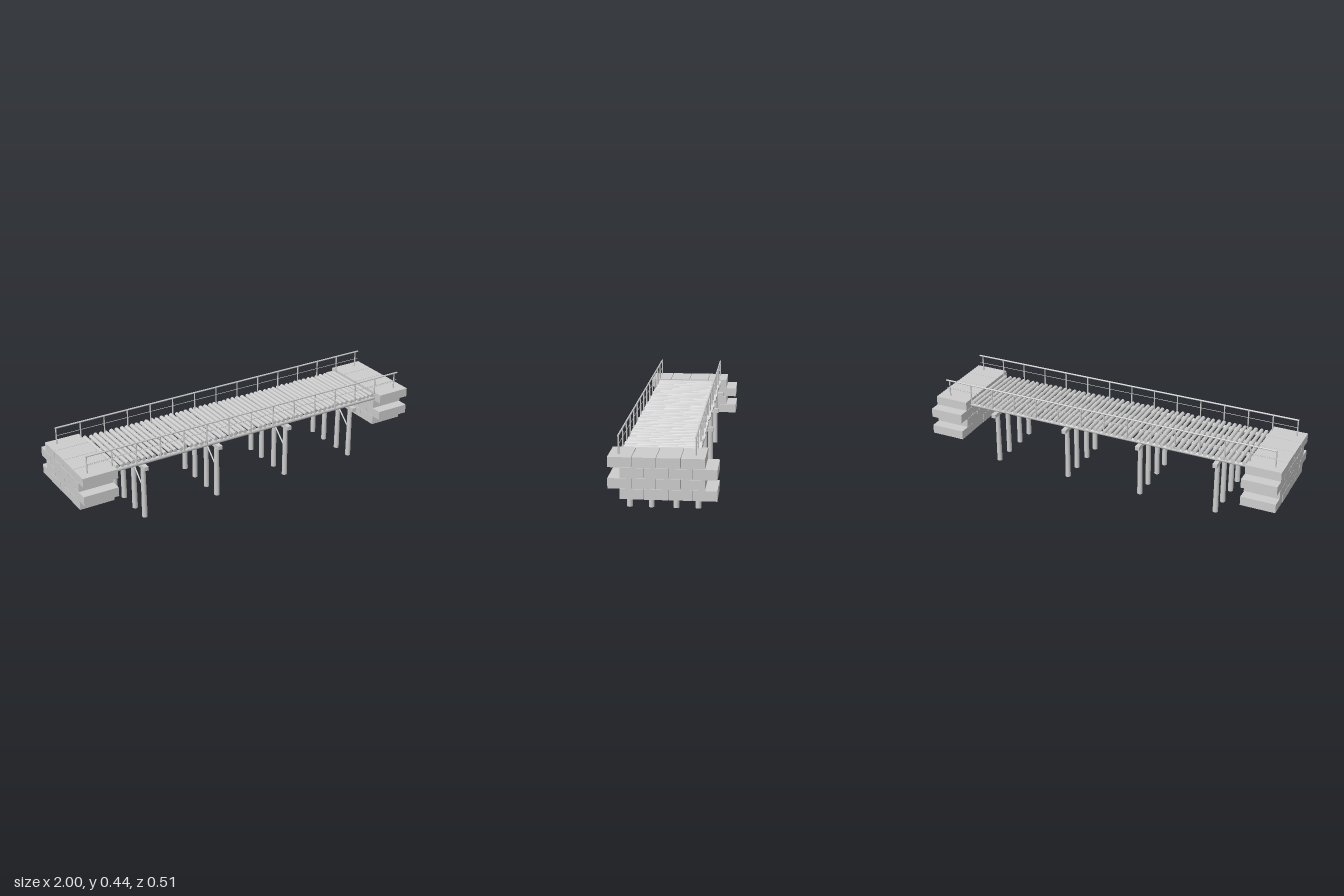
import * as THREE from 'three';

const stone = new THREE.MeshStandardMaterial({ color: 0xcccccc });
stone.name = 'pale grey';

// Small seeded generator for hand-laid irregularity, in -1..1
let seed = 7;
const jitter = () => {
  seed = (seed * 16807) % 2147483647;
  return (seed / 2147483647) * 2 - 1;
};

function block(parent, name, w, h, d, x, y, z) {
  const m = new THREE.Mesh(new THREE.BoxGeometry(w, h, d), stone);
  m.name = name;
  m.position.set(x, y, z);
  parent.add(m);
  return m;
}

// Round timber running between two points, with a radius at each end
function log(parent, name, a, b, r1, r2 = r1, sides = 12) {
  const from = new THREE.Vector3(...a), to = new THREE.Vector3(...b);
  const dir = to.clone().sub(from);
  const m = new THREE.Mesh(new THREE.CylinderGeometry(r2, r1, dir.length(), sides), stone);
  m.name = name;
  m.position.copy(from).add(to).multiplyScalar(0.5);
  m.quaternion.setFromUnitVectors(new THREE.Vector3(0, 1, 0), dir.normalize());
  parent.add(m);
  return m;
}

function group(parent, name) {
  const g = new THREE.Group();
  g.name = name;
  parent.add(g);
  return g;
}

export function createModel() {
  seed = 7;
  const bridge = new THREE.Group();
  bridge.name = 'timberBridge';
  const pileZ = [0.2, 0.092, -0.031, -0.14];

  // Stone abutments: four staggered courses of four blocks
  for (const side of [-1, 1]) {
    const abutment = group(bridge, side < 0 ? 'rightAbutment' : 'leftAbutment');
    for (let row = 0; row < 4; row++) {
      const start = row % 2 ? -0.197 : -0.254;
      for (let i = 0; i < 4; i++) {
        block(abutment, 'stoneBlock', 0.188 + 0.002 * jitter(), 0.049, 0.111,
          side * 0.904, 0.1705 + row * 0.0505, start + 0.0567 + i * 0.1135);
      }
    }
  }

  // Pile bents: four piles, a cap beam and a diagonal brace
  for (const x of [-0.645, -0.215, 0.215, 0.645]) {
    const bent = group(bridge, 'pileBent');
    for (const z of pileZ) log(bent, 'pile', [x, 0, z], [x, 0.287, z], 0.0145, 0.0125, 16);
    block(bent, 'capBeam', 0.024, 0.021, 0.425, x, 0.2935, 0.027);
    log(bent, 'diagonalBrace', [x, 0.16, 0.2], [x, 0.288, 0.06], 0.004, 0.004, 8);
  }

  // Long stringers carrying the deck
  const deck = group(bridge, 'deck');
  for (const z of pileZ) log(deck, 'stringer', [-0.82, 0.314, z], [0.82, 0.314, z], 0.011);

  // Transverse deck logs, slightly uneven
  const count = 54;
  for (let i = 0; i < count; i++) {
    const x = -0.79 + (1.58 * i) / (count - 1);
    const skew = 0.003 * jitter();
    const r = 0.0115 + 0.001 * jitter();
    log(deck, 'deckLog', [x - skew, 0.334, -0.16 + 0.004 * jitter()],
      [x + skew, 0.334, 0.21 + 0.004 * jitter()], r, r * 0.9);
  }

  // Handrails along both edges
  for (const z of [0.21, -0.15]) {
    const railing = group(bridge, z > 0 ? 'frontRailing' : 'backRailing');
    for (let i = 0; i < 15; i++) {
      const x = -0.953 + i * 0.135;
      log(railing, 'railPost', [x, 0.32, z], [x, 0.437, z], 0.004, 0.0035, 8);
    }
    log(railing, 'topRail', [-0.957, 0.436, z], [0.957, 0.436, z], 0.0045, 0.0045, 8);
    log(railing, 'middleRail', [-0.955, 0.392, z], [0.955, 0.392, z], 0.0015, 0.0015, 6);
  }
  return bridge;
}
